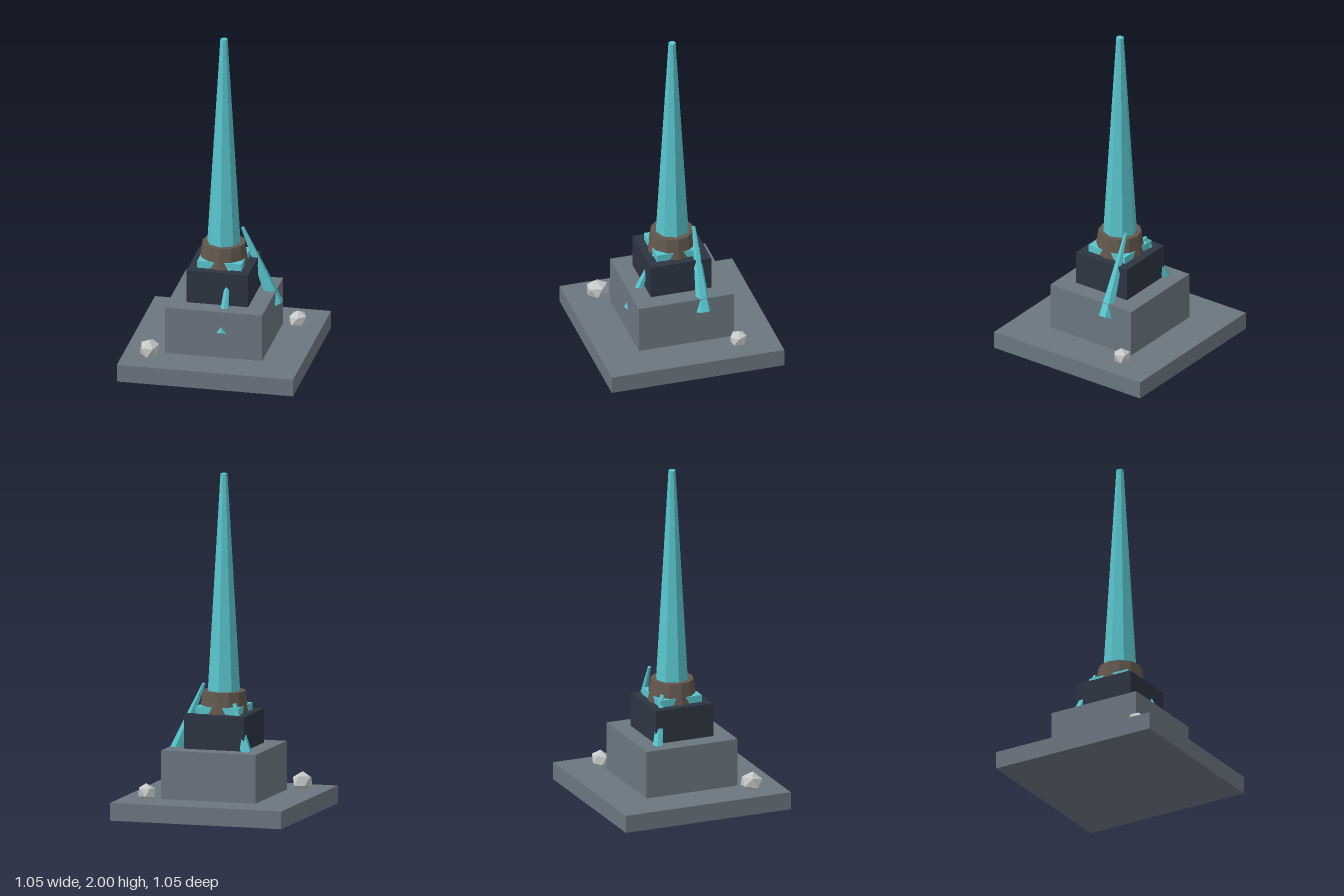
import * as THREE from 'three';

const material = (name, color) => {
  const m = new THREE.MeshStandardMaterial({ color, flatShading: true });
  m.name = name;
  return m;
};

export function createModel() {
  const group = new THREE.Group();
  const stone = material('grey stone', 0x6b7680);
  const darkStone = material('dark stone', 0x2d3542);
  const crystal = material('teal crystal', 0x58c4cc);
  const bronze = material('brown collar', 0x62574d);
  const rubble = material('pale rock', 0xc6cac8);

  const add = (name, geometry, mat) => {
    const mesh = new THREE.Mesh(geometry, mat);
    mesh.name = name;
    group.add(mesh);
    return mesh;
  };

  // Stepped square pedestal: name, width, bottom, top
  const block = (name, width, y0, y1, mat) => {
    add(name, new THREE.BoxGeometry(width, y1 - y0, width), mat).position.y = (y0 + y1) / 2;
  };
  block('base', 1.052, 0, 0.105, stone);
  block('plinth', 0.58, 0.105, 0.392, stone);
  block('darkBlock', 0.368, 0.392, 0.594, darkStone);
  block('crystalPlate', 0.264, 0.594, 0.636, crystal);

  // Collar and spire
  add('collar', new THREE.CylinderGeometry(0.127, 0.146, 0.126, 12), bronze).position.y = 0.657;
  add('spire', new THREE.CylinderGeometry(0.022, 0.104, 1.36, 8), crystal).position.y = 1.32;

  // Leaning six-sided shards, partly sunk into the pedestal
  const shard = (name, foot, tip, footRadius, tipRadius) => {
    const a = new THREE.Vector3(...foot);
    const b = new THREE.Vector3(...tip);
    const length = a.distanceTo(b);
    const mesh = add(name, new THREE.CylinderGeometry(tipRadius, footRadius, length, 6), crystal);
    mesh.position.copy(a).add(b).multiplyScalar(0.5);
    mesh.quaternion.setFromUnitVectors(new THREE.Vector3(0, 1, 0), b.sub(a).normalize());
  };
  shard('leftShard', [0.289, 0.305, -0.106], [0.088, 0.772, -0.106], 0.045, 0.01);
  shard('frontShard', [0.045, 0.251, 0.272], [0.06, 0.61, 0.125], 0.036, 0.008);
  shard('backShard', [-0.232, 0.28, -0.203], [-0.1, 0.66, -0.107], 0.041, 0.012);

  // Loose rocks on the base
  const rock = (name, position, scale, rotation) => {
    const mesh = add(name, new THREE.IcosahedronGeometry(1, 0), rubble);
    mesh.position.set(...position);
    mesh.scale.set(...scale);
    mesh.rotation.set(...rotation);
  };
  rock('frontRock', [-0.37, 0.147, 0.343], [0.06, 0.062, 0.07], [0.15, -0.35, 0.5]);
  rock('backRock', [0.378, 0.14, -0.29], [0.06, 0.052, 0.054], [0.1, 0.4, 0.5]);

  return group;
}
